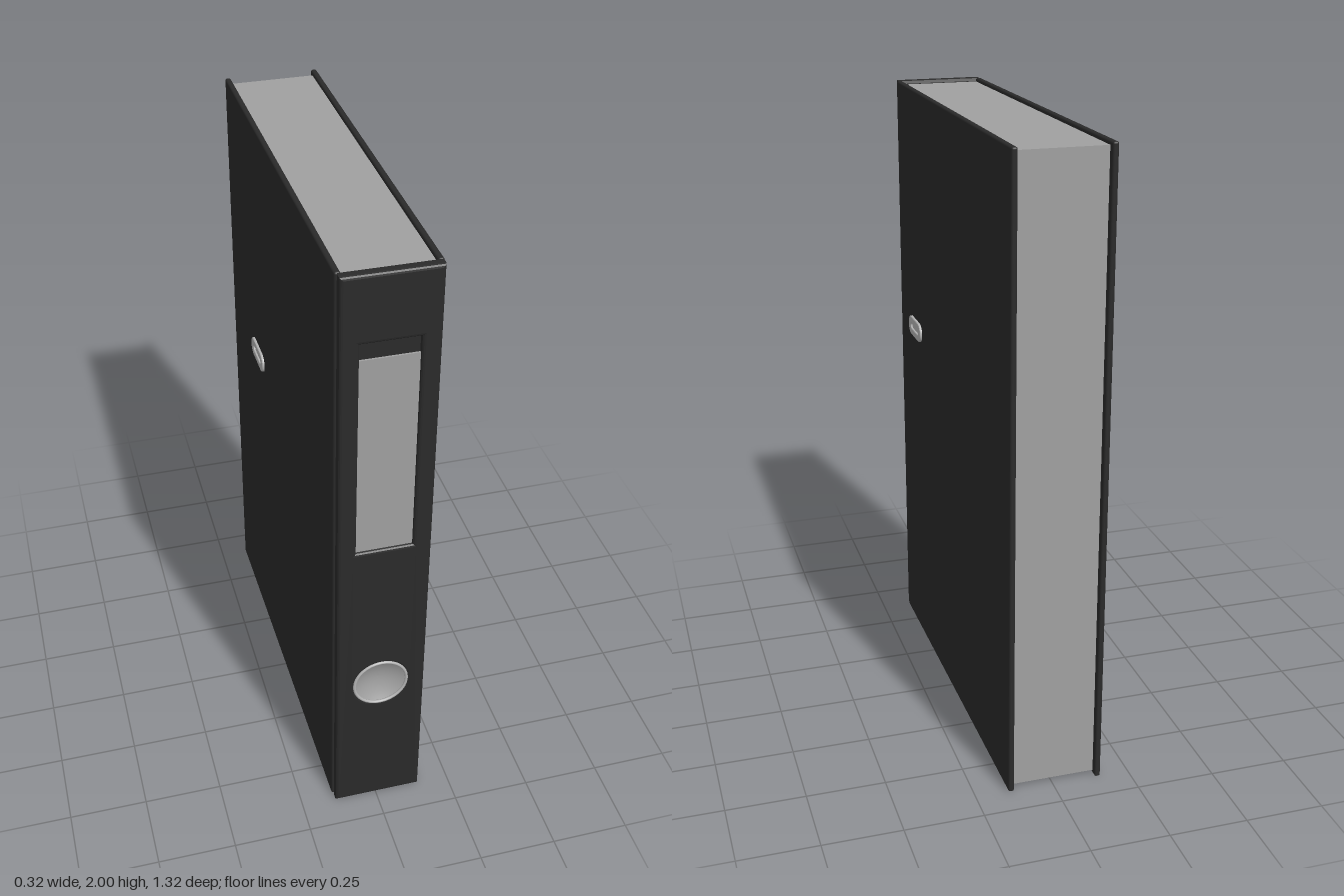
import * as THREE from 'three';
import { RoundedBoxGeometry } from 'three/addons/geometries/RoundedBoxGeometry.js';

const board = new THREE.MeshStandardMaterial({ color: 0x2a2a2a });
const paper = new THREE.MeshStandardMaterial({ color: 0xa0a0a0, side: THREE.DoubleSide });
const metal = new THREE.MeshStandardMaterial({ color: 0xb4b4b4 });
board.name = 'blackBoard';
paper.name = 'greyPaper';
metal.name = 'metal';

function add(parent, name, geometry, material, x = 0, y = 0, z = 0) {
  const mesh = new THREE.Mesh(geometry, material);
  mesh.name = name;
  mesh.position.set(x, y, z);
  parent.add(mesh);
  return mesh;
}

function polygon(Type, points) {
  return new Type(points.map(([x, y]) => new THREE.Vector2(x, y)));
}

// Horizontal slot outline with rounded ends
function stadium(Type, length, height) {
  const r = height / 2, h = length / 2 - r;
  const s = new Type();
  s.absarc(h, 0, r, -Math.PI / 2, Math.PI / 2, false);
  s.absarc(-h, 0, r, Math.PI / 2, Math.PI * 1.5, false);
  s.closePath();
  return s;
}

// Tilted cover board with a metal slot; side is +1 or -1
function cover(name, side, frontX, backX, slotZ) {
  const g = new THREE.Group();
  const thick = 0.018, length = 1.285;
  g.name = name;
  g.position.set((frontX + backX) / 2 - side * thick / 2, 0, -0.0175);
  g.rotation.y = Math.atan2(frontX - backX, length);
  add(g, 'coverBoard', new RoundedBoxGeometry(thick, 2, length, 2, 0.006), board, 0, 1, 0);

  const slot = new THREE.Group();
  slot.name = 'slotEyelet';
  slot.position.set(side * thick / 2, 1.18, slotZ + 0.0175);
  slot.rotation.y = side * Math.PI / 2;
  const ring = stadium(THREE.Shape, 0.154, 0.058);
  ring.holes.push(stadium(THREE.Path, 0.104, 0.026));
  add(slot, 'eyeletRim', new THREE.ExtrudeGeometry(ring, {
    depth: 0.004, bevelThickness: 0.004, bevelSize: 0.004, bevelSegments: 2, curveSegments: 12,
  }), metal);
  add(slot, 'eyeletCentre', new THREE.ShapeGeometry(stadium(THREE.Shape, 0.12, 0.04), 12), metal, 0, 0, 0.002);
  g.add(slot);
  return g;
}

export function createModel() {
  const model = new THREE.Group();
  model.name = 'ringBinder';

  model.add(cover('leftCover', 1, 0.152, 0.145, 0.42));
  model.add(cover('rightCover', -1, -0.144, -0.157, -0.285));

  // Paper block, tapering to follow the covers
  const plan = polygon(THREE.Shape, [[-0.13, -0.622], [0.138, -0.622], [0.131, 0.638], [-0.143, 0.638]]);
  const block = new THREE.ExtrudeGeometry(plan, { depth: 1.976, bevelEnabled: false });
  block.rotateX(-Math.PI / 2);
  add(model, 'paperBlock', block, paper, 0, 0.012, 0);

  // Spine with label window and finger hole
  const b = 0.01, cx = 0.005, holeY = 0.52, holeR = 0.085;
  const front = polygon(THREE.Shape, [[-0.138 + b, b], [0.148 - b, b], [0.148 - b, 2 - b], [-0.138 + b, 2 - b]]);
  const wx = 0.086 + b;
  front.holes.push(polygon(THREE.Path, [[cx - wx, 1.07 - b], [cx - wx, 1.79 + b], [cx + wx, 1.79 + b], [cx + wx, 1.07 - b]]));
  const hole = new THREE.Path();
  hole.absarc(cx, holeY, holeR + b, 0, Math.PI * 2, true);
  front.holes.push(hole);
  add(model, 'spine', new THREE.ExtrudeGeometry(front, {
    depth: 0.016, bevelThickness: b, bevelSize: b, bevelSegments: 3, curveSegments: 24,
  }), board, 0, 0, 0.62 + b);

  // Label in its recessed window
  add(model, 'windowBacking', new THREE.BoxGeometry(0.19, 0.75, 0.012), board, cx, 1.43, 0.634);
  add(model, 'label', new THREE.BoxGeometry(0.172, 0.665, 0.006), paper, cx, 1.4025, 0.643);

  // Dished finger hole with a thin rim
  const dish = [];
  for (let i = 0; i <= 8; i++) {
    const t = i / 8;
    dish.push(new THREE.Vector2(t * holeR, 0.026 * t * t));
  }
  const bowl = new THREE.LatheGeometry(dish, 32);
  bowl.rotateX(Math.PI / 2);
  add(model, 'fingerHoleDish', bowl, paper, cx, holeY, 0.626);
  add(model, 'fingerHoleRim', new THREE.TorusGeometry(holeR, 0.005, 8, 32), metal, cx, holeY, 0.655);

  return model;
}
